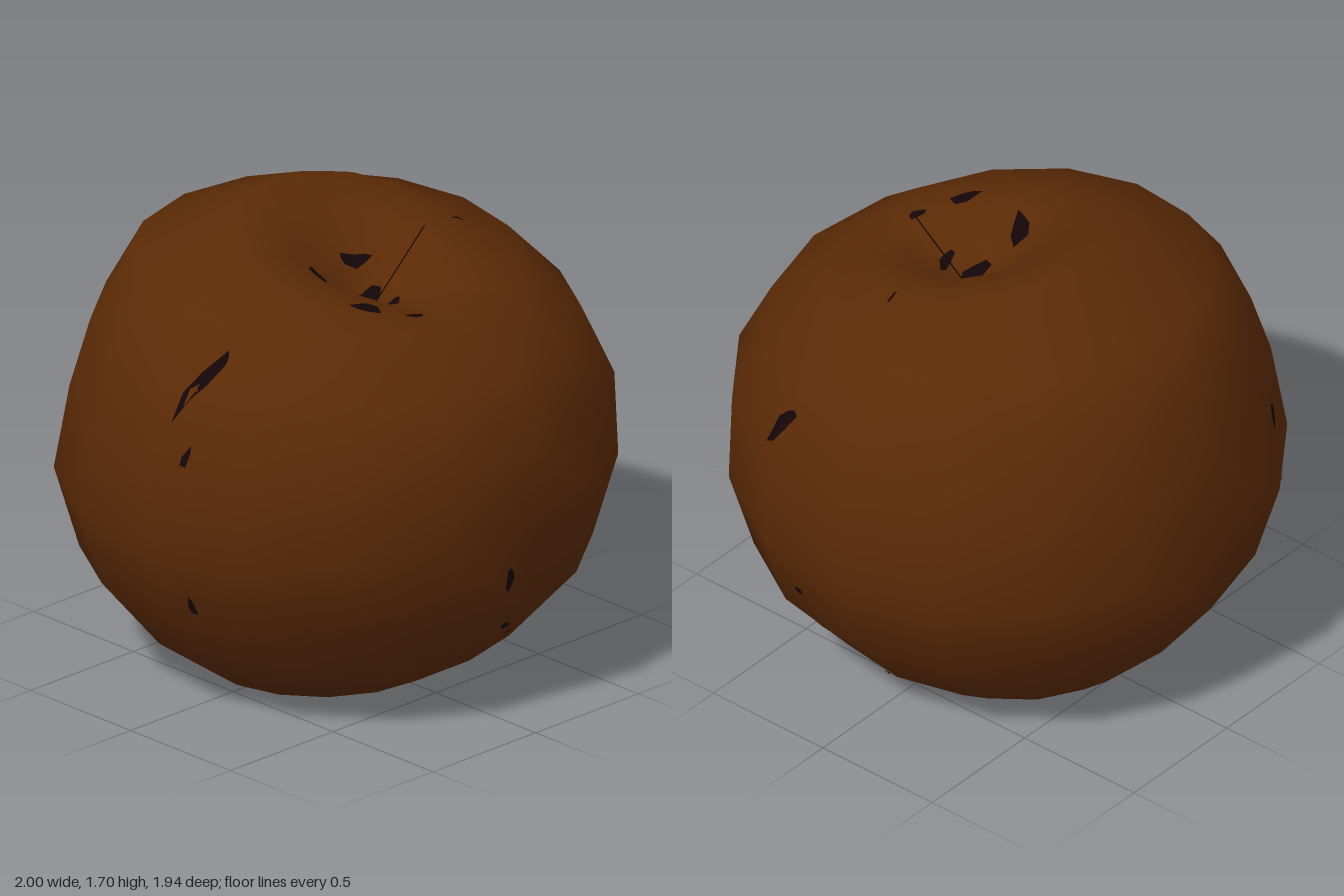
import * as THREE from 'three';
import { mergeVertices } from 'three/addons/utils/BufferGeometryUtils.js';

// Profile from the base hollow to the stem hollow: radius, y, shift towards the front, slope over z
const PROFILE = [
  [0, 0.26, -0.06, 0],
  [0.13, 0.19, -0.06, 0],
  [0.25, 0.04, -0.06, 0],
  [0.45, 0, -0.06, 0],
  [0.67, 0.15, -0.02, 0],
  [0.91, 0.43, 0, 0],
  [1, 0.73, 0, 0],
  [0.965, 1.05, 0.03, 0],
  [0.87, 1.29, 0, 0],
  [0.7, 1.49, -0.04, -0.06],
  [0.44, 1.61, 0.1, -0.27],
  [0.27, 1.6, 0.14, -0.27],
  [0.12, 1.45, 0.16, -0.1],
  [0, 1.38, 0.16, 0],
];

// Lathed fruit whose upper rings shift and slope down to the front
function bodyGeometry() {
  const points = PROFILE.map(([r, y]) => new THREE.Vector2(r, y));
  const lathe = new THREE.LatheGeometry(points, 16, 0.06);
  const pos = lathe.attributes.position;
  for (let i = 0; i < pos.count; i++) {
    const [, y, shift, slope] = PROFILE[i % PROFILE.length];
    const x = pos.getX(i);
    const z = pos.getZ(i) * 0.97 + shift;
    // Notch in the front lip of the stem hollow
    const notch = y > 1.4 ? 0.06 * Math.exp(-(x * x + (z - 0.42) ** 2) / 0.02) : 0;
    pos.setY(i, y + slope * z - notch);
    pos.setZ(i, z);
  }
  lathe.deleteAttribute('uv');
  lathe.deleteAttribute('normal');
  const g = mergeVertices(lathe, 0.001);
  g.computeVertexNormals();
  return g;
}

// Sides to cast from: azimuth, elevation in degrees
const SIDES = {
  front: [0, 0],
  left: [90, 0],
  right: [-90, 0],
  top: [0, 90],
  bottom: [0, -90],
  back: [225, 25],
};

// Blemishes: side, then u, v on it, half length, half width, turn in degrees
const SPOTS = [
  ['left', -0.3, 0.33, 0.09, 0.025, 58],
  ['left', -0.18, -0.3, 0.02, 0.015, 0],
  ['left', -0.13, -0.46, 0.034, 0.022, 110],
  ['left', 0.01, -0.7, 0.014, 0.01, 0],
  ['front', -0.04, -0.28, 0.05, 0.016, 95],
  ['front', 0.05, -0.515, 0.035, 0.014, -30],
  ['front', 0.16, -0.6, 0.016, 0.012, -20],
  ['right', 0.2, 0.22, 0.035, 0.014, 80],
  ['right', 0.2, -0.35, 0.035, 0.014, 100],
  ['top', -0.8, -0.17, 0.105, 0.022, -30],
  ['top', -0.24, -0.4, 0.055, 0.03, -35],
  ['top', -0.1, -0.5, 0.035, 0.018, -20],
  ['top', 0.44, -0.155, 0.025, 0.006, 0],
  ['top', -0.01, -0.165, 0.08, 0.04, 5],
  ['top', -0.2, -0.11, 0.065, 0.032, 45],
  ['top', 0.06, -0.03, 0.06, 0.018, -25],
  ['top', 0, -0.285, 0.06, 0.02, 20],
  ['back', -0.16, -0.3, 0.045, 0.032, 60],
  ['back', -0.21, -0.52, 0.025, 0.008, 85],
];
// Blemishes spaced around the base hollow
for (let i = 0; i < 4; i++) {
  const deg = 60 + i * 90;
  const t = THREE.MathUtils.degToRad(deg);
  SPOTS.push(['bottom', Math.cos(t) * 0.18, -0.06 + Math.sin(t) * 0.18, 0.05, 0.02, deg + 90]);
}

// Irregular patch laid on the body by casting rays at it
function spotGeometry(body, [side, u, v, a, b, turn]) {
  const [az, el] = SIDES[side].map(THREE.MathUtils.degToRad);
  const frame = new THREE.Matrix4().makeRotationFromEuler(new THREE.Euler(-el, az, 0, 'YXZ'));
  frame.setPosition(0, 0.85, 0);
  const dir = new THREE.Vector3(0, 0, -1).transformDirection(frame);
  const ray = new THREE.Raycaster();
  const drop = (x, y) => {
    ray.set(new THREE.Vector3(x, y, 3).applyMatrix4(frame), dir);
    const hit = ray.intersectObject(body)[0];
    return hit.point.addScaledVector(hit.face.normal, 0.006);
  };
  const points = [drop(u, v)];
  const index = [];
  const sides = 8;
  const angle = THREE.MathUtils.degToRad(turn);
  for (let i = 0; i < sides; i++) {
    const t = (i / sides) * Math.PI * 2;
    const wobble = 1 + 0.22 * Math.sin(i * 2.4 + u * 9);
    const p = new THREE.Vector2(Math.cos(t) * a, Math.sin(t) * b).multiplyScalar(wobble);
    p.rotateAround(new THREE.Vector2(), angle);
    points.push(drop(u + p.x, v + p.y));
    index.push(0, 1 + i, 1 + ((i + 1) % sides));
  }
  const g = new THREE.BufferGeometry().setFromPoints(points);
  g.setIndex(index);
  g.computeVertexNormals();
  return g;
}

export function createModel() {
  const skin = new THREE.MeshStandardMaterial({ color: 0x5b2a06 });
  skin.name = 'brown skin';
  const rot = new THREE.MeshStandardMaterial({ color: 0x140508, side: THREE.DoubleSide });
  rot.name = 'dark blemish';

  const model = new THREE.Group();
  model.name = 'rottenApple';

  const body = new THREE.Mesh(bodyGeometry(), skin);
  body.name = 'body';
  model.add(body);

  // Dark patches of rot
  const spots = new THREE.Group();
  spots.name = 'blemishes';
  for (const spot of SPOTS) {
    const mesh = new THREE.Mesh(spotGeometry(body, spot), rot);
    mesh.name = 'blemish';
    spots.add(mesh);
  }
  model.add(spots);

  // Hair-thin dried stem
  const path = new THREE.LineCurve3(new THREE.Vector3(0.02, 1.38, 0.18), new THREE.Vector3(0.14, 1.67, 0.3));
  const stem = new THREE.Mesh(new THREE.TubeGeometry(path, 1, 0.0025, 4), rot);
  stem.name = 'stem';
  model.add(stem);

  return model;
}
